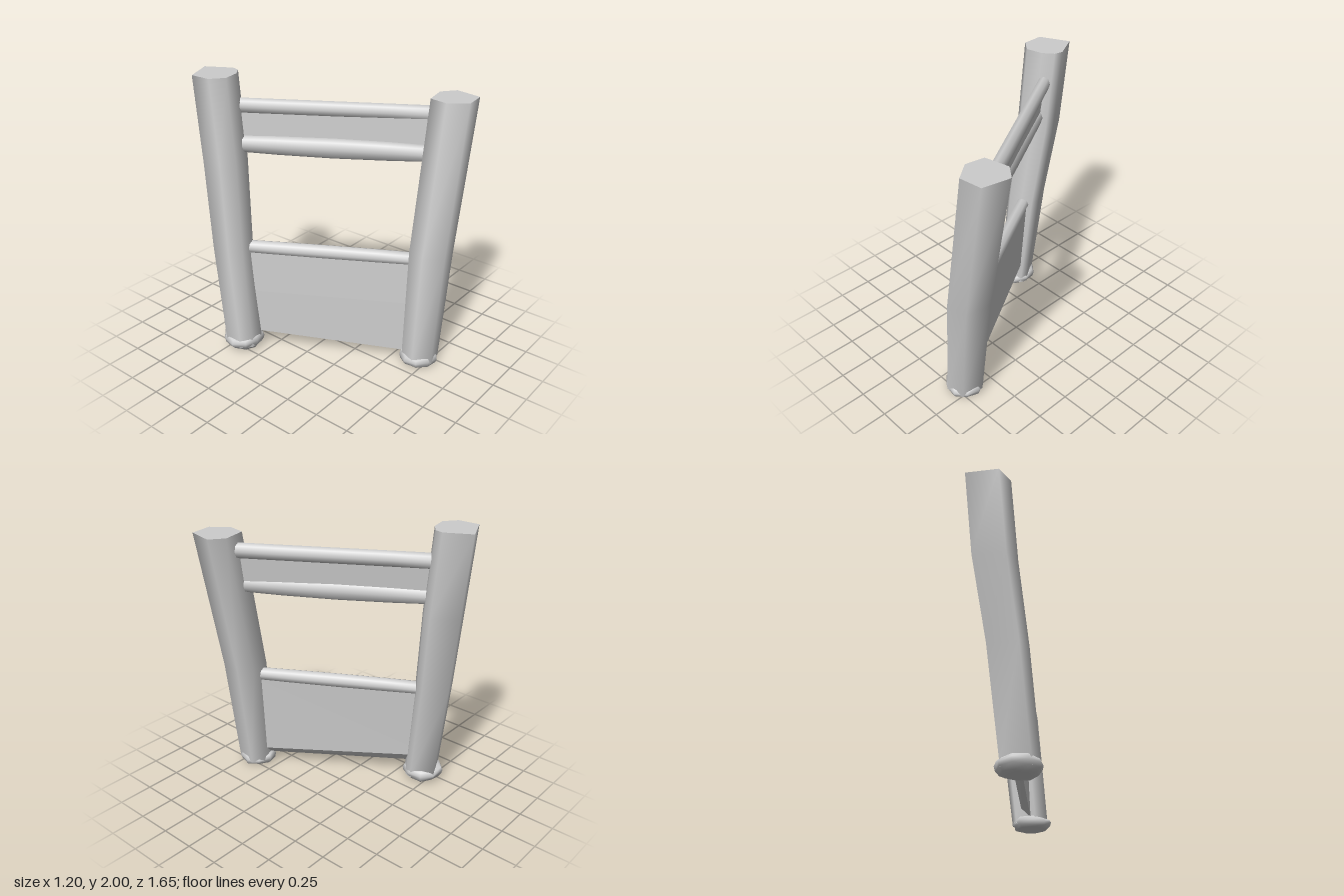
import * as THREE from 'three';

const V = (x, y, z) => new THREE.Vector3(x, y, z);

// Skin a list of equal-length point rings and cap both ends.
function loft(name, rings, flat = false) {
  const n = rings[0].length, pos = [], idx = [];
  rings.forEach(r => r.forEach(p => pos.push(p.x, p.y, p.z)));
  for (let k = 0; k < rings.length - 1; k++) {
    for (let i = 0; i < n; i++) {
      const j = (i + 1) % n, a = k * n, b = a + n;
      idx.push(a + i, b + i, a + j, a + j, b + i, b + j);
    }
  }
  [rings[0], rings[rings.length - 1]].forEach((ring, end) => {
    const base = pos.length / 3;
    const c = ring.reduce((s, p) => s.add(p), V(0, 0, 0)).divideScalar(n);
    [...ring, c].forEach(p => pos.push(p.x, p.y, p.z));
    for (let i = 0; i < n; i++) {
      const j = (i + 1) % n;
      idx.push(base + n, base + (end ? j : i), base + (end ? i : j));
    }
  });
  const geo = new THREE.BufferGeometry();
  geo.setAttribute('position', new THREE.Float32BufferAttribute(pos, 3));
  geo.setIndex(idx);
  geo.computeVertexNormals();
  const mesh = new THREE.Mesh(geo, new THREE.MeshStandardMaterial({ color: 0xcccccc, flatShading: flat }));
  mesh.name = name;
  return mesh;
}

// Post axes: [y, x, z, radius, roundness]
const backAxis = [
  [0.04, -0.45, -0.437, 0.13, 1], [0.8, -0.425, -0.53, 0.137, 0.8],
  [1.4, -0.377, -0.605, 0.15, 0.3], [2, -0.365, -0.67, 0.155, 0],
];
const frontAxis = [
  [0.03, 0.19, 0.685, 0.127, 1], [0.85, 0.268, 0.683, 0.142, 0.6],
  [1.89, 0.452, 0.682, 0.15, 0],
];
// Irregular top outlines, as x, z offsets from the axis
const backOutline = [[-0.15, -0.06], [0.055, -0.155], [0.15, 0.02], [0.135, 0.08],
  [0.065, 0.135], [-0.055, 0.16], [-0.145, 0.09]];
const frontOutline = [[0.05, -0.145], [0.148, -0.07], [0.11, 0.12], [-0.05, 0.14],
  [-0.142, 0.02], [-0.12, -0.11]];

// The outline eases into a regular polygon towards the foot.
function post(name, axis, outline) {
  return loft(name, axis.map(([y, x, z, r, round]) => outline.map(([ox, oz]) => {
    const l = Math.hypot(ox, oz);
    const rr = THREE.MathUtils.lerp(l, r * 1.04, round);
    return V(x + ox / l * rr, y, z + oz / l * rr);
  })));
}

// Lumpy rubber-like foot with a lip
function foot(name, x, z, r, lift, phase) {
  const profile = [[0, 0.07], [0.004, 0.115], [0.035, 0.14], [0.065, 0.148], [0.09, 0.135], [0.095, 0.1]];
  return loft(name, profile.map(([y, pr], k) => Array.from({ length: 9 }, (_, i) => {
    const a = i / 9 * Math.PI * 2 + phase;
    const rr = pr * r * (1 + 0.04 * Math.sin(i * 2.3 + phase));
    const wobble = k ? 0.007 * Math.sin(i * 1.9 + k) : 0;
    return V(x + Math.cos(a) * rr, Math.max(0, lift + y + wobble), z + Math.sin(a) * rr);
  })));
}

function axisAt(axis, y) {
  let k = 0;
  while (k < axis.length - 2 && axis[k + 1][0] < y) k++;
  const a = axis[k], b = axis[k + 1], t = (y - a[0]) / (b[0] - a[0]);
  return V(a[1] + (b[1] - a[1]) * t, 0, a[2] + (b[2] - a[2]) * t);
}

// Crosspiece from post to post; section(t) gives [y, sideways offset] corners.
function crosspiece(name, y, section, steps, flat) {
  const a = axisAt(backAxis, y), b = axisAt(frontAxis, y);
  const d = b.clone().sub(a).normalize(), side = V(d.z, 0, -d.x);
  return loft(name, Array.from({ length: steps + 1 }, (_, k) => {
    const t = k / steps;
    return section(t).map(([h, s]) => a.clone().lerp(b, t).addScaledVector(side, s).setY(h));
  }), flat);
}

function rail(name, y, h, w, offset, bulge) {
  return crosspiece(name, y, t => Array.from({ length: 8 }, (_, i) => {
    const a = i / 8 * Math.PI * 2, g = 1 + bulge * Math.sin(Math.PI * t);
    return [y + Math.cos(a) * h * g, offset + Math.sin(a) * w];
  }), 4, false);
}

export function createModel() {
  const model = new THREE.Group();
  model.name = 'frame';
  model.add(
    post('backPost', backAxis, backOutline),
    post('frontPost', frontAxis, frontOutline),
    foot('backFoot', -0.452, -0.44, 1, 0.01, 0.2),
    foot('frontFoot', 0.182, 0.68, 0.93, -0.02, 0.6),
    rail('topRail', 1.775, 0.055, 0.045, 0.022, 0),
    rail('middleRail', 1.517, 0.055, 0.045, 0, 0.3),
    rail('lowerRail', 0.78, 0.046, 0.048, 0, 0.15),
    // Thin board between the two upper rails
    crosspiece('upperPanel', 1.65, () => [[1.77, 0.037], [1.52, 0.012], [1.52, -0.012], [1.77, 0.007]], 1, true),
    // Tall board under the lower rail, slanted along its bottom edge
    crosspiece('lowerPanel', 0.78, t => [
      [0.78, 0.034], [0.22 - 0.09 * t, 0], [0.135 - 0.075 * t, -0.068], [0.45, -0.055], [0.78, -0.034],
    ], 1, true),
  );
  return model;
}
